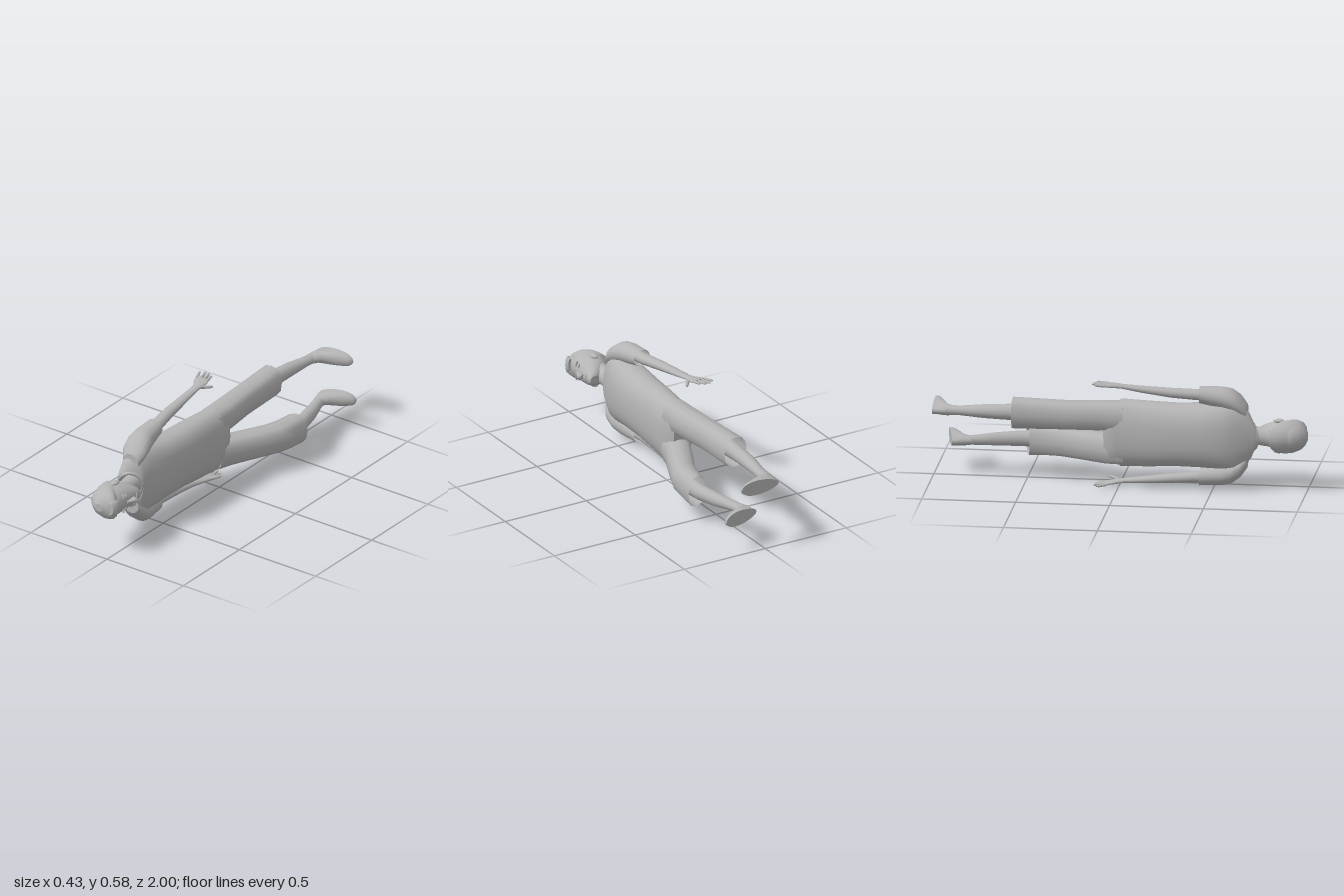
import * as THREE from 'three';

const CY = 0.303; // middle of the body, which lies along z with its face toward +x
const gray = new THREE.MeshStandardMaterial({ color: 0xb4b4b4, side: THREE.DoubleSide });
gray.name = 'plain gray';

// Skin through rings [z, centreX, centreY, radiusX, radiusY, tilt, taper].
function loft(name, rings, { sides = 16, power = 1, capStart = true, capEnd = true } = {}) {
  const list = rings[0][0] > rings[rings.length - 1][0] ? [...rings].reverse() : rings;
  const caps = list === rings ? [capStart, capEnd] : [capEnd, capStart];
  const pos = [], idx = [];
  const ring = ([z, cx, cy, rx, ry, tilt = 0, taper = 0]) => {
    for (let i = 0; i < sides; i++) {
      const a = (i / sides) * Math.PI * 2, c = Math.cos(a), s = Math.sin(a);
      const u = Math.sign(c) * Math.abs(c) ** power, v = Math.sign(s) * Math.abs(s) ** power;
      pos.push(cx + rx * u, cy + ry * v * (1 + taper * u), z + tilt * u);
    }
  };
  list.forEach(ring);
  for (let r = 0; r < list.length - 1; r++) {
    for (let i = 0; i < sides; i++) {
      const a = r * sides + i, b = r * sides + (i + 1) % sides;
      idx.push(a, b, b + sides, a, b + sides, a + sides);
    }
  }
  // caps have their own corners so that their rims stay sharp
  [list[0], list[list.length - 1]].forEach((r, end) => {
    if (!caps[end]) return;
    const base = pos.length / 3;
    ring(r);
    pos.push(r[1], r[2], r[0]);
    for (let i = 0; i < sides; i++) {
      const a = base + i, b = base + (i + 1) % sides, m = base + sides;
      if (end) idx.push(a, b, m); else idx.push(b, a, m);
    }
  });
  const geo = new THREE.BufferGeometry();
  geo.setAttribute('position', new THREE.Float32BufferAttribute(pos, 3));
  geo.setIndex(idx);
  geo.computeVertexNormals();
  const mesh = new THREE.Mesh(geo, gray);
  mesh.name = name;
  return mesh;
}

function blob(name, x, y, z, sx, sy, sz) {
  const mesh = new THREE.Mesh(new THREE.SphereGeometry(1, 12, 8), gray);
  mesh.name = name;
  mesh.position.set(x, y, z);
  mesh.scale.set(sx, sy, sz);
  return mesh;
}

function makeHead() {
  const g = new THREE.Group();
  g.name = 'head';
  g.add(loft('neck', [
    [0.62, -0.075, CY, 0.058, 0.066], [0.68, -0.073, CY, 0.05, 0.056],
    [0.74, -0.068, CY, 0.044, 0.05], [0.8, -0.07, CY, 0.055, 0.056],
  ]));
  g.add(loft('face', [
    [0.736, 0.0, CY, 0.026, 0.022], [0.745, -0.01, CY, 0.044, 0.037],
    [0.77, -0.028, CY, 0.06, 0.054], [0.81, -0.047, CY, 0.08, 0.07],
    [0.86, -0.058, CY, 0.09, 0.079], [0.91, -0.06, CY, 0.092, 0.082],
    [0.95, -0.058, CY, 0.083, 0.074], [0.98, -0.055, CY, 0.055, 0.05],
  ], { sides: 20 }));
  g.add(loft('hair', [
    [0.87, -0.066, CY, 0.094, 0.086, 0.068], [0.895, -0.064, CY, 0.098, 0.09, 0.06],
    [0.925, -0.058, CY, 0.1, 0.088, 0.045], [0.96, -0.054, CY, 0.086, 0.074, 0.018],
    [0.985, -0.056, CY, 0.056, 0.05, 0.004], [0.998, -0.056, CY, 0.022, 0.022],
  ], { sides: 20, capStart: false }));
  // swept fringe
  g.add(loft('fringe', [
    [0.94, 0.03, 0.318, 0.01, 0.035], [0.965, 0.03, 0.31, 0.015, 0.05],
    [0.985, 0.005, 0.305, 0.025, 0.035],
  ], { sides: 10 }));
  g.add(loft('nose', [
    [0.803, 0.035, CY, 0.012, 0.012], [0.812, 0.043, CY, 0.022, 0.017],
    [0.825, 0.038, CY, 0.02, 0.012], [0.865, 0.027, CY, 0.01, 0.008],
  ], { sides: 8 }));
  g.add(blob('mouth', 0.03, CY, 0.778, 0.007, 0.024, 0.006));
  for (const s of [-1, 1]) {
    g.add(blob('eye', 0.022, CY + s * 0.034, 0.862, 0.008, 0.015, 0.006));
    g.add(blob('eyebrow', 0.022, CY + s * 0.036, 0.885, 0.009, 0.02, 0.004));
    g.add(blob('ear', -0.06, CY + s * 0.083, 0.845, 0.019, 0.011, 0.03));
  }
  return g;
}

// s is the side of the body, dx moves the hand toward the front
function makeArm(s, dx) {
  const g = new THREE.Group();
  g.name = s > 0 ? 'rightArm' : 'leftArm';
  const y = (v) => CY + s * v;
  g.add(loft('sleeve', [
    [0.68, -0.08, y(0.13), 0.05, 0.045], [0.645, -0.083, y(0.17), 0.072, 0.054],
    [0.6, -0.087, y(0.197), 0.073, 0.06], [0.55, -0.093, y(0.211), 0.066, 0.057],
    [0.43, -0.105, y(0.225), 0.05, 0.046],
  ], { capEnd: false }));
  g.add(loft('forearm', [
    [0.5, -0.1, y(0.222), 0.038, 0.032], [0.4, -0.11, y(0.226), 0.036, 0.029],
    [0.28, -0.128 + dx * 0.3, y(0.236), 0.033, 0.026], [0.12, -0.138 + dx * 0.6, y(0.253), 0.027, 0.018],
    [0.02, -0.142 + dx, y(0.266), 0.022, 0.012],
  ], { sides: 12 }));
  g.add(loft('palm', [
    [0.03, -0.142 + dx, y(0.265), 0.021, 0.012], [-0.01, -0.146 + dx, y(0.27), 0.031, 0.012],
    [-0.045, -0.155 + dx, y(0.274), 0.042, 0.01], [-0.07, -0.16 + dx, y(0.278), 0.04, 0.008],
  ], { sides: 12 }));
  const tips = [-0.115, -0.133, -0.13, -0.115];
  tips.forEach((z, i) => {
    const x = -0.192 + i * 0.021 + dx, tx = -0.209 + i * 0.025 + dx;
    g.add(loft('finger', [
      [-0.06, x, y(0.277), 0.01, 0.008], [z + 0.012, tx, y(0.283), 0.008, 0.007],
      [z, tx, y(0.284), 0.004, 0.004],
    ], { sides: 8 }));
  });
  g.add(loft('thumb', [
    [0.0, -0.132 + dx, y(0.267), 0.014, 0.01], [-0.03, -0.108 + dx, y(0.262), 0.012, 0.009],
    [-0.052, -0.092 + dx, y(0.26), 0.009, 0.008], [-0.06, -0.088 + dx, y(0.26), 0.004, 0.004],
  ], { sides: 8 }));
  return g;
}

// shorts leg, calf and foot share the same construction for both legs
function makeLeg(name, shorts, calf, foot) {
  const g = new THREE.Group();
  g.name = name;
  g.add(loft('shortsLeg', shorts, { sides: 12, power: 0.8, capEnd: false }));
  g.add(loft('calf', calf, { sides: 12 }));
  g.add(loft('foot', foot, { sides: 18 }));
  return g;
}

export function createModel() {
  const model = new THREE.Group();
  model.name = 'lyingFigure';
  model.add(makeHead());

  // shirt body, open at the hem
  model.add(loft('shirt', [
    [0.0, -0.045, 0.29, 0.087, 0.183], [0.15, -0.06, 0.292, 0.1, 0.177],
    [0.3, -0.07, 0.296, 0.108, 0.17], [0.45, -0.077, 0.3, 0.113, 0.174],
    [0.55, -0.08, CY, 0.108, 0.188], [0.615, -0.083, CY, 0.092, 0.196],
    [0.66, -0.08, CY, 0.075, 0.17, -0.01], [0.69, -0.074, CY, 0.067, 0.125, -0.025],
    [0.7, -0.07, CY, 0.06, 0.082, -0.038],
  ], { sides: 24, power: 0.85, capStart: false, capEnd: false }));
  model.add(loft('collar', [
    [0.68, -0.07, CY, 0.065, 0.088, -0.038], [0.708, -0.07, CY, 0.06, 0.078, -0.04],
    [0.708, -0.07, CY, 0.052, 0.066, -0.04], [0.685, -0.07, CY, 0.05, 0.064, -0.04],
  ], { sides: 20, capStart: false, capEnd: false }));

  model.add(makeArm(1, 0), makeArm(-1, 0.055));

  model.add(loft('shortsSeat', [
    [0.08, -0.05, 0.29, 0.08, 0.165], [0.0, -0.047, 0.289, 0.082, 0.175],
    [-0.05, -0.045, 0.288, 0.077, 0.17], [-0.085, -0.045, 0.288, 0.055, 0.14],
  ], { sides: 20, power: 0.8 }));

  model.add(makeLeg('straightLeg', [
    [0.02, -0.05, 0.38, 0.078, 0.085], [-0.1, -0.055, 0.382, 0.08, 0.08],
    [-0.3, -0.07, 0.382, 0.073, 0.078], [-0.57, -0.077, 0.386, 0.068, 0.085],
  ], [
    [-0.48, -0.075, 0.388, 0.048, 0.048], [-0.6, -0.075, 0.388, 0.042, 0.044],
    [-0.72, -0.07, 0.386, 0.04, 0.038], [-0.85, -0.058, 0.382, 0.031, 0.026],
    [-0.93, -0.052, 0.38, 0.034, 0.027],
  ], [
    [-0.88, -0.053, 0.38, 0.031, 0.024], [-0.92, -0.045, 0.38, 0.04, 0.03],
    [-0.95, -0.01, 0.38, 0.076, 0.036, 0, 0.15], [-0.975, 0.02, 0.38, 0.106, 0.039, 0, 0.2],
    [-0.988, 0.03, 0.38, 0.115, 0.041, 0, 0.2], [-1.0, 0.03, 0.38, 0.114, 0.041, 0, 0.2],
  ]));

  model.add(makeLeg('bentLeg', [
    [0.02, -0.045, 0.2, 0.078, 0.085], [-0.08, -0.02, 0.195, 0.082, 0.083],
    [-0.22, 0.045, 0.192, 0.08, 0.08], [-0.34, 0.1, 0.19, 0.078, 0.08, -0.01],
    [-0.42, 0.118, 0.188, 0.07, 0.082, -0.012], [-0.515, 0.127, 0.186, 0.062, 0.086, -0.016],
  ], [
    [-0.42, 0.128, 0.19, 0.045, 0.048], [-0.55, 0.123, 0.19, 0.04, 0.043],
    [-0.68, 0.095, 0.19, 0.038, 0.036], [-0.8, 0.058, 0.19, 0.031, 0.026],
    [-0.87, 0.043, 0.19, 0.033, 0.026],
  ], [
    [-0.81, 0.053, 0.19, 0.031, 0.024, -0.004], [-0.845, 0.055, 0.19, 0.042, 0.03, -0.006],
    [-0.875, 0.077, 0.19, 0.073, 0.036, -0.012, 0.15], [-0.9, 0.097, 0.19, 0.1, 0.039, -0.02, 0.2],
    [-0.912, 0.103, 0.19, 0.107, 0.041, -0.022, 0.2], [-0.924, 0.1, 0.19, 0.106, 0.041, -0.022, 0.2],
  ]));
  return model;
}
